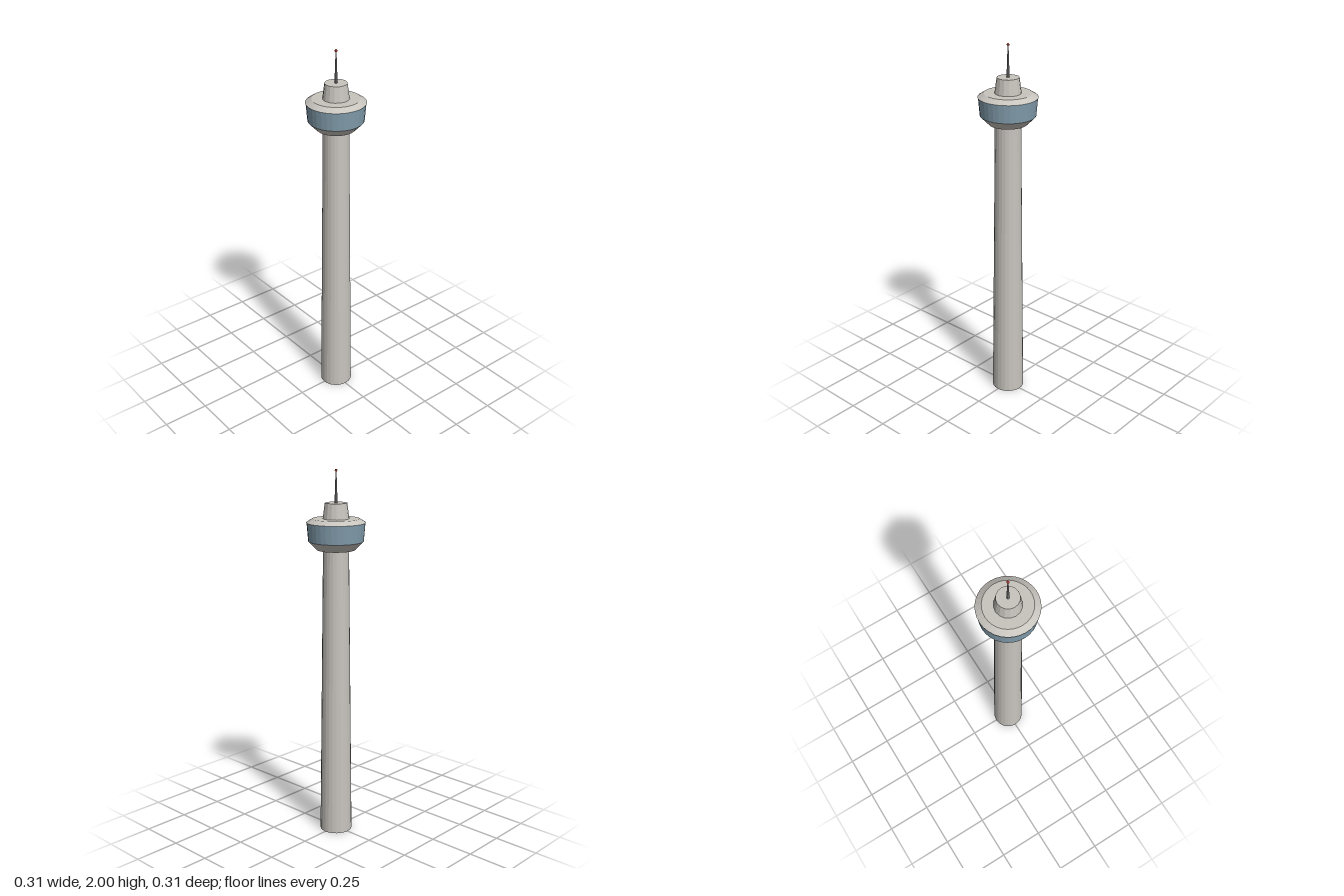
import * as THREE from 'three';

export function createModel() {
  const tower = new THREE.Group();
  tower.name = 'observationTower';

  const material = (name, color) => {
    const m = new THREE.MeshStandardMaterial({ color, flatShading: true });
    m.name = name;
    return m;
  };
  const concrete = material('concrete', 0xc8c4be);
  const glass = material('glass', 0x829dac);
  const steel = material('steel', 0x8c8c8c);
  const red = material('beaconRed', 0xc0392b);

  // Tapered round section between two heights
  const section = (name, mat, y0, y1, r0, r1, sides) => {
    const mesh = new THREE.Mesh(new THREE.CylinderGeometry(r1, r0, y1 - y0, sides), mat);
    mesh.position.y = (y0 + y1) / 2;
    mesh.name = name;
    tower.add(mesh);
  };

  section('shaft', concrete, 0, 1.6, 0.088, 0.068, 24);

  // Observation pod: flared floor, window band, sloped roof
  section('podFloor', concrete, 1.585, 1.63, 0.1, 0.145, 32);
  section('windowBand', glass, 1.63, 1.727, 0.145, 0.153, 32);
  section('podRoof', concrete, 1.727, 1.747, 0.156, 0.124, 32);

  // Upper housing and mast
  section('upperHousing', concrete, 1.747, 1.828, 0.069, 0.058, 16);
  section('antenna', steel, 1.828, 1.99, 0.008, 0.0025, 8);

  const beacon = new THREE.Mesh(new THREE.SphereGeometry(0.007, 10, 8), red);
  beacon.name = 'beacon';
  beacon.position.y = 1.993;
  tower.add(beacon);

  return tower;
}
